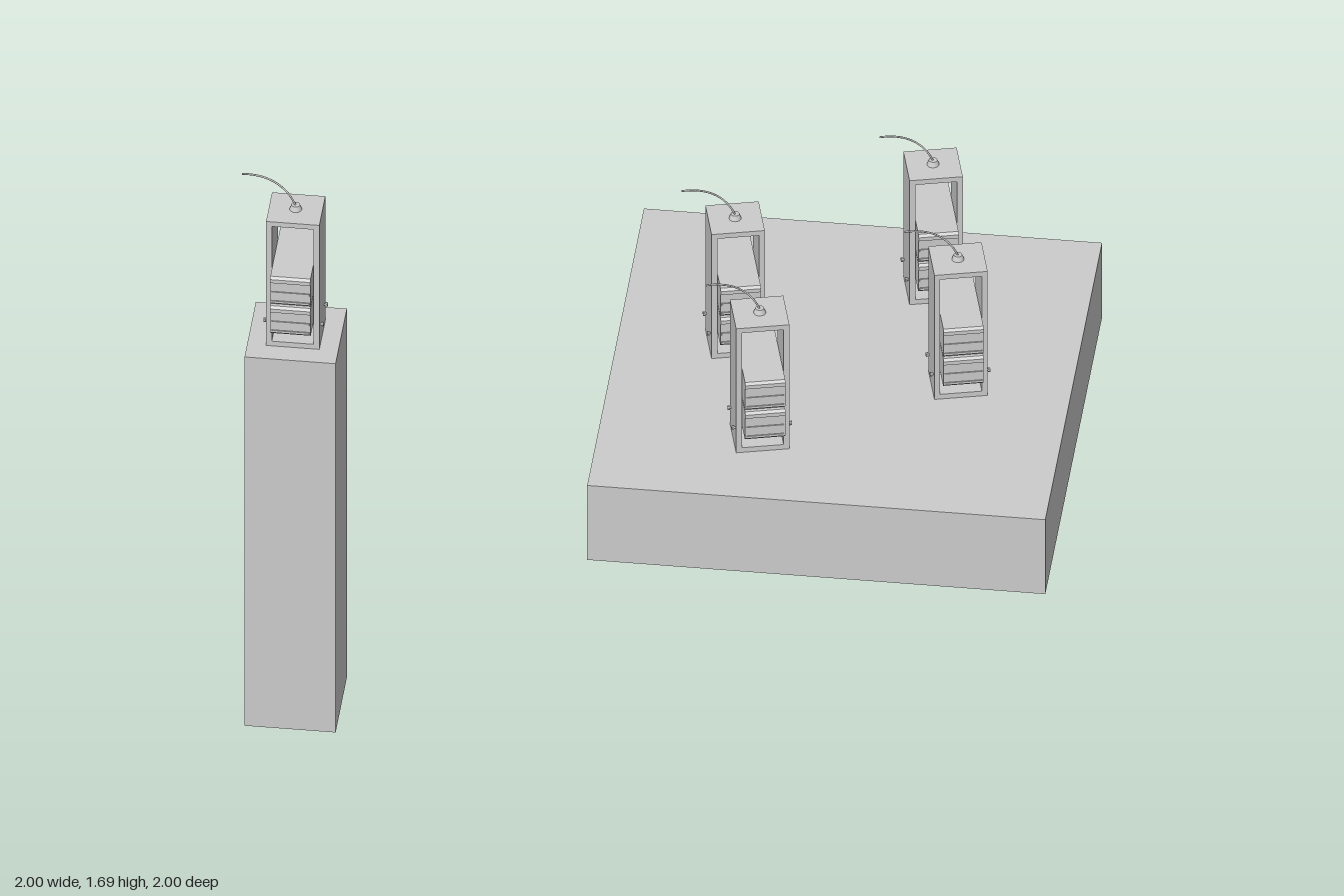
import * as THREE from 'three';

const grey = new THREE.MeshStandardMaterial({ color: 0xcccccc, side: THREE.DoubleSide, flatShading: true });
const smooth = new THREE.MeshStandardMaterial({ color: 0xcccccc });

function add(parent, name, geometry, x = 0, y = 0, z = 0, material = grey) {
  const mesh = new THREE.Mesh(geometry, material);
  mesh.name = name;
  mesh.position.set(x, y, z);
  parent.add(mesh);
  return mesh;
}

// Hollow plinth: four thin walls and a top, open underneath
function plinth(parent, name, size, height, x, z) {
  const geometry = new THREE.BoxGeometry(size, height, size);
  const index = Array.from(geometry.index.array);
  index.splice(18, 6); // drop the bottom face
  geometry.setIndex(index);
  geometry.clearGroups();
  add(parent, name, geometry, x, height / 2, z);
}

// Rectangular frame, open to front and back
function frameGeometry(w, h, d, t) {
  const shape = new THREE.Shape([[-w / 2, 0], [w / 2, 0], [w / 2, h], [-w / 2, h]].map(p => new THREE.Vector2(...p)));
  const i = w / 2 - t;
  shape.holes.push(new THREE.Path([[-i, t], [-i, h - t], [i, h - t], [i, t]].map(p => new THREE.Vector2(...p))));
  return new THREE.ExtrudeGeometry(shape, { depth: d, bevelEnabled: false }).translate(0, 0, -d / 2);
}

// Side profile of a pod running front to back, extruded across its width
function podGeometry(width) {
  const half = [[0.106, 0], [0.112, 0.006], [0.112, 0.072], [0.117, 0.074], [0.117, 0.085], [0.11, 0.091]];
  const points = [...half, ...half.map(([z, y]) => [-z, y]).reverse()].map(p => new THREE.Vector2(...p));
  return new THREE.ExtrudeGeometry(new THREE.Shape(points), { depth: width, bevelEnabled: false })
    .translate(0, 0, -width / 2).rotateY(Math.PI / 2);
}

function createDevice() {
  const device = new THREE.Group();
  device.name = 'device';
  add(device, 'frame', frameGeometry(0.138, 0.4, 0.125, 0.015));

  // Two stacked pods with ribbed ends
  for (const y of [0.075, 0.17]) {
    add(device, 'pod', podGeometry(0.104), 0, y, 0);
    for (const side of [-1, 1]) {
      add(device, 'podRib', new THREE.BoxGeometry(0.098, 0.008, 0.004), 0, y + 0.04, side * 0.113);
      add(device, 'podRib', new THREE.BoxGeometry(0.098, 0.006, 0.004), 0, y + 0.012, side * 0.113);
    }
  }

  // Cross rods below the pods, ending in bolt heads
  for (const z of [-0.042, 0.042]) {
    add(device, 'crossRod', new THREE.CylinderGeometry(0.003, 0.003, 0.15, 10).rotateZ(Math.PI / 2), 0, 0.067, z, smooth);
    for (const side of [-1, 1]) {
      add(device, 'boltHead', new THREE.CylinderGeometry(0.006, 0.006, 0.006, 10).rotateZ(Math.PI / 2), side * 0.075, 0.067, z);
    }
  }

  // Antenna: plug under the lid, collar above it, bent whip
  add(device, 'antennaPlug', new THREE.CylinderGeometry(0.016, 0.025, 0.022, 20), 0, 0.372, 0, smooth);
  add(device, 'antennaNeck', new THREE.CylinderGeometry(0.009, 0.009, 0.03, 16), 0, 0.39, 0, smooth);
  add(device, 'antennaCollar', new THREE.CylinderGeometry(0.011, 0.016, 0.014, 20), 0, 0.407, 0, smooth);
  const whip = new THREE.CubicBezierCurve3(
    new THREE.Vector3(0, 0.41, 0), new THREE.Vector3(-0.02, 0.465, 0),
    new THREE.Vector3(-0.065, 0.506, 0), new THREE.Vector3(-0.139, 0.5, 0));
  add(device, 'antennaWhip', new THREE.TubeGeometry(whip, 20, 0.0025, 8), 0, 0, 0, smooth);
  return device;
}

export function createModel() {
  const model = new THREE.Group();
  model.name = 'deviceDisplay';

  plinth(model, 'tallPlinth', 0.236, 1.19, -0.859, 0.878);
  plinth(model, 'widePlinth', 1.187, 0.24, 0.404, -0.406);

  // x, y, z and turn of each device
  const places = [
    [-0.859, 1.19, 0.878, 0],
    [0.113, 0.24, -0.465, 0.25],
    [0.225, 0.24, -0.075, 0.25],
    [0.59, 0.24, -0.755, 0.25],
    [0.703, 0.24, -0.363, 0.25],
  ];
  for (const [x, y, z, turn] of places) {
    const device = createDevice();
    device.position.set(x, y, z);
    device.rotation.y = turn;
    model.add(device);
  }
  return model;
}
